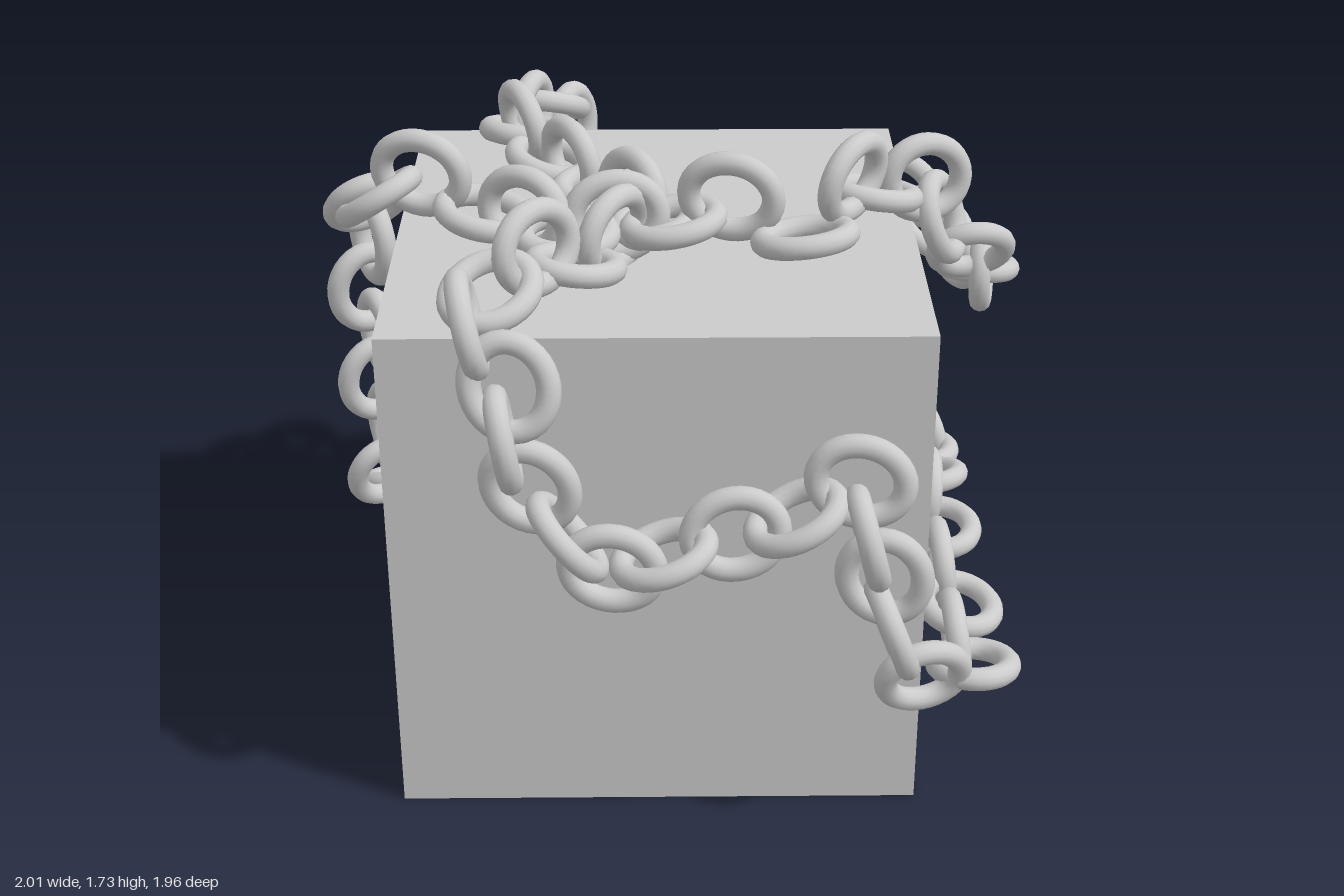
import * as THREE from 'three';

const material = new THREE.MeshStandardMaterial({ color: 0xcccccc });
const BOX = new THREE.Box3(new THREE.Vector3(-0.77, 0, -0.7), new THREE.Vector3(0.62, 1.4, 0.7));
const PLATE = { x: -0.08, y: 0.705, z: -0.752, size: 0.33, depth: 0.045 };

// Oval chain link lying in the XY plane, long axis on X
function linkGeometry(halfLength, halfWidth, radius) {
  const points = [];
  for (let i = 0; i < 24; i++) {
    const a = (i / 24) * Math.PI * 2;
    points.push(new THREE.Vector3(Math.cos(a) * halfLength, Math.sin(a) * halfWidth, 0));
  }
  return new THREE.TubeGeometry(new THREE.CatmullRomCurve3(points, true), 32, radius, 12, true);
}
const bigLink = linkGeometry(0.113, 0.096, 0.031);
const smallLink = linkGeometry(0.062, 0.05, 0.017);

// One link per point, alternately standing off the box and lying flat on it;
// links first..last of the chain share an extra twist
function chain(name, points, geometry, first = 0, last = 0, twist = 0) {
  const group = new THREE.Group();
  group.name = name;
  points.forEach((position, i) => {
    const before = points[Math.max(0, i - 1)];
    const after = points[Math.min(points.length - 1, i + 1)];
    const along = after.clone().sub(before).normalize();
    const outward = position.clone().sub(BOX.clampPoint(position, new THREE.Vector3()));
    const side = new THREE.Vector3().crossVectors(outward, along).normalize();
    const up = new THREE.Vector3().crossVectors(along, side);
    const link = new THREE.Mesh(geometry, material);
    link.name = 'link';
    link.position.copy(position);
    link.quaternion.setFromRotationMatrix(new THREE.Matrix4().makeBasis(along, side, up));
    const roll = i >= first && i <= last ? twist : 0.15 * Math.sin(i * 2.4);
    link.rotateX(((i + 1) % 2) * Math.PI / 2 + roll);
    group.add(link);
  });
  return group;
}

const vectors = (list) => list.map((p) => new THREE.Vector3(...p));

// Up the left side, across the top and down the right side to the back
const sideLinks = vectors([
  [-0.33, 0.42, -0.83], [-0.45, 0.36, -0.81], [-0.57, 0.31, -0.83], [-0.71, 0.26, -0.81],
  [-0.85, 0.23, -0.81], [-0.87, 0.26, -0.66], [-0.88, 0.32, -0.51], [-0.86, 0.38, -0.38],
  [-0.89, 0.48, -0.27], [-0.87, 0.64, -0.25], [-0.89, 0.81, -0.24], [-0.87, 0.97, -0.2],
  [-0.89, 1.13, -0.18], [-0.87, 1.29, -0.16], [-0.87, 1.42, -0.11], [-0.82, 1.49, 0.02],
  [-0.7, 1.57, 0.05], [-0.53, 1.48, 0.11], [-0.42, 1.52, 0.2], [-0.31, 1.48, 0.25],
  [-0.18, 1.52, 0.23], [-0.03, 1.5, 0.22], [0.12, 1.57, 0.22], [0.31, 1.49, 0.3],
  [0.44, 1.6, 0.17], [0.51, 1.5, 0.03], [0.65, 1.53, 0], [0.71, 1.39, -0.06],
  [0.81, 1.24, -0.17], [0.87, 1.11, -0.33], [0.88, 1.04, -0.5], [0.82, 1.04, -0.63],
  [0.77, 1.08, -0.73], [0.68, 1.16, -0.81], [0.54, 1.18, -0.85], [0.44, 1.12, -0.83],
  [0.34, 1.04, -0.86], [0.21, 0.97, -0.83],
]);

// Over the top to the front, then round the right side to the back
const frontLinks = vectors([
  [-0.29, 1.05, -0.84], [-0.32, 1.21, -0.86], [-0.33, 1.37, -0.82], [-0.4, 1.48, -0.7],
  [-0.44, 1.49, -0.6], [-0.46, 1.48, -0.49], [-0.45, 1.54, -0.39], [-0.37, 1.47, -0.29],
  [-0.31, 1.51, -0.18], [-0.23, 1.47, -0.06], [-0.14, 1.5, 0.03], [-0.08, 1.47, 0.15],
  [-0.18, 1.5, 0.28], [-0.28, 1.47, 0.42], [-0.37, 1.57, 0.54], [-0.48, 1.5, 0.64],
  [-0.53, 1.47, 0.76], [-0.43, 1.34, 0.84], [-0.45, 1.19, 0.83], [-0.39, 1.04, 0.8],
  [-0.3, 0.9, 0.81], [-0.19, 0.8, 0.8], [-0.06, 0.86, 0.83], [0.12, 0.9, 0.8],
  [0.27, 0.96, 0.82], [0.43, 1.05, 0.8], [0.45, 0.91, 0.84], [0.5, 0.77, 0.8],
  [0.52, 0.64, 0.84], [0.61, 0.48, 0.82], [0.76, 0.42, 0.68], [0.73, 0.41, 0.53],
  [0.76, 0.4, 0.36], [0.73, 0.42, 0.17], [0.75, 0.4, -0.05], [0.73, 0.44, -0.21],
  [0.75, 0.39, -0.37], [0.73, 0.35, -0.51], [0.76, 0.32, -0.66], [0.78, 0.32, -0.8],
  [0.68, 0.28, -0.87], [0.56, 0.23, -0.84], [0.42, 0.24, -0.86], [0.28, 0.29, -0.83], [0.16, 0.37, -0.83],
]);

// Square lock plate with cut corners and a broken ring mark
function lockPlate() {
  const group = new THREE.Group();
  group.name = 'lockPlate';
  group.position.set(PLATE.x, PLATE.y, PLATE.z);
  const h = PLATE.size / 2, c = 0.045;
  const shape = new THREE.Shape([
    [-h + c, -h], [h - c, -h], [h, -h + c], [h, h - c],
    [h - c, h], [-h + c, h], [-h, h - c], [-h, -h + c],
  ].map((p) => new THREE.Vector2(...p)));
  for (const sx of [-1, 1]) for (const sy of [-1, 1]) {
    const hole = new THREE.Path();
    hole.absarc(sx * (h - 0.045), sy * (h - 0.045), 0.018, 0, Math.PI * 2, true);
    shape.holes.push(hole);
  }
  const body = new THREE.Mesh(
    new THREE.ExtrudeGeometry(shape, { depth: PLATE.depth, bevelEnabled: false, curveSegments: 10 }), material);
  body.name = 'plate';
  body.position.z = -PLATE.depth / 2;
  group.add(body);
  for (let i = 0; i < 3; i++) {
    const mark = new THREE.Mesh(new THREE.TorusGeometry(0.05, 0.004, 6, 12, 1.3), material);
    mark.name = 'ringMark';
    mark.position.z = -PLATE.depth / 2;
    mark.rotation.z = (i * Math.PI * 2) / 3;
    group.add(mark);
  }
  return group;
}

export function createModel() {
  const model = new THREE.Group();
  model.name = 'chainedBox';

  const size = BOX.getSize(new THREE.Vector3());
  const box = new THREE.Mesh(new THREE.BoxGeometry(size.x, size.y, size.z), material);
  box.name = 'box';
  box.position.copy(BOX.getCenter(new THREE.Vector3()));
  model.add(box, lockPlate());

  model.add(chain('sideChain', sideLinks, bigLink, 7, 14, 0.5));
  model.add(chain('frontChain', frontLinks, bigLink, 0, 2, -0.5));

  // Two small links tie each chain end to a corner of the plate
  const ends = [
    [sideLinks[0], -1, -1], [sideLinks.at(-1), 1, 1],
    [frontLinks[0], -1, 1], [frontLinks.at(-1), 1, -1],
  ];
  for (const [end, sx, sy] of ends) {
    const corner = new THREE.Vector3(PLATE.x + sx * 0.12, PLATE.y + sy * 0.12, PLATE.z - 0.01);
    const links = [0.2, 0.55].map((t) => corner.clone().lerp(end, t));
    model.add(chain('cornerLinks', links, smallLink));
  }
  return model;
}
